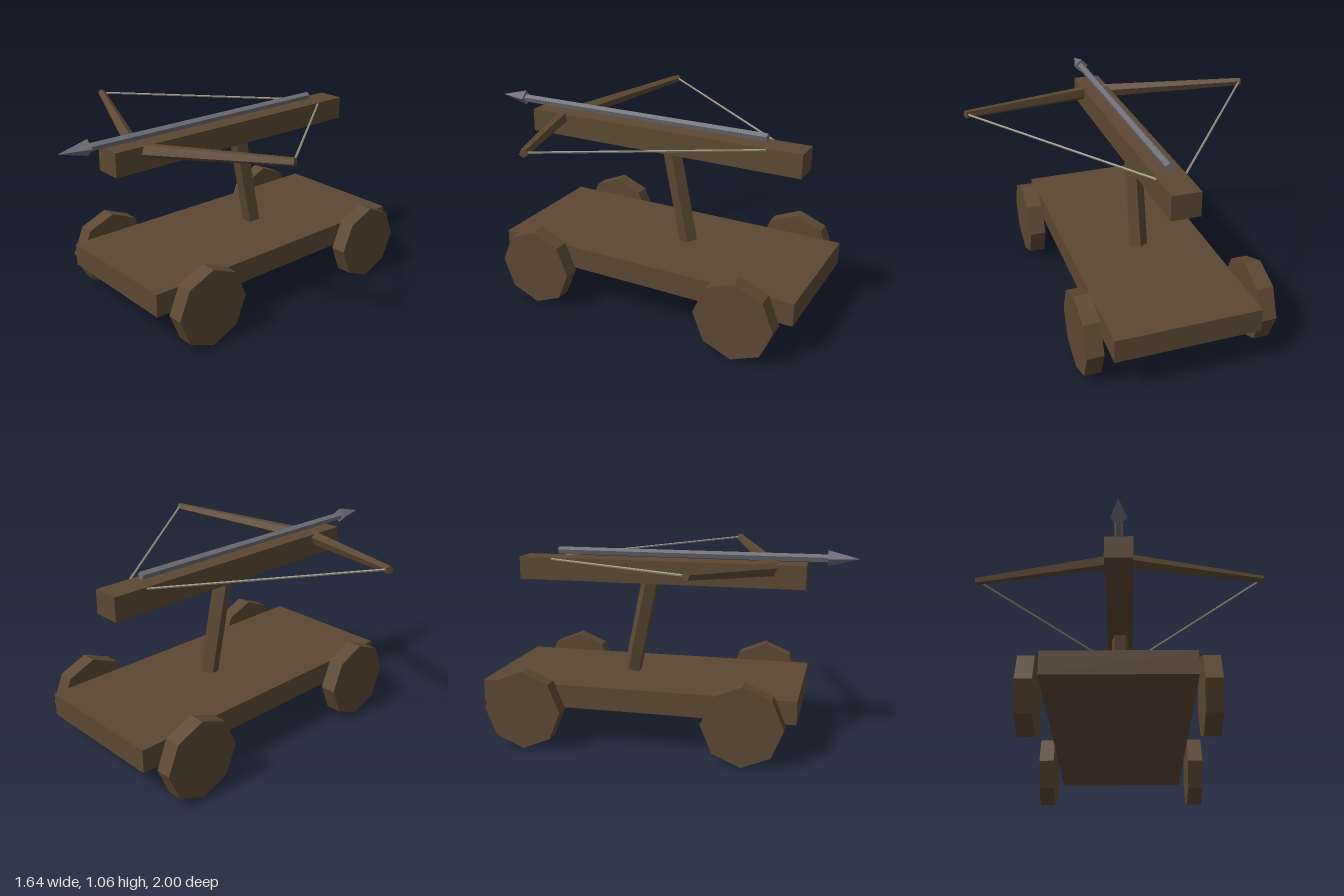
import * as THREE from 'three';

function material(name, color) {
  const m = new THREE.MeshStandardMaterial({ color, flatShading: true });
  m.name = name;
  return m;
}

export function createModel() {
  const group = new THREE.Group();
  const wood = material('wood', 0x5c4833);
  const iron = material('iron', 0x6e6e75);
  const cord = material('cord', 0x9c9782);

  function add(name, geometry, mat) {
    const mesh = new THREE.Mesh(geometry, mat);
    mesh.name = name;
    group.add(mesh);
    return mesh;
  }

  function box(name, w, h, d, y, z) {
    add(name, new THREE.BoxGeometry(w, h, d), wood).position.set(0, y, z);
  }

  // Faceted rod from a to b; one corner of its section points along `corner`
  function rod(name, a, b, ra, rb, sides, corner, mat) {
    const start = new THREE.Vector3(...a), end = new THREE.Vector3(...b);
    const axis = end.clone().sub(start);
    const length = axis.length();
    axis.normalize();
    const z = new THREE.Vector3(...corner);
    z.addScaledVector(axis, -z.dot(axis)).normalize();
    const x = new THREE.Vector3().crossVectors(axis, z);
    const geometry = new THREE.CylinderGeometry(rb, ra, length, sides);
    geometry.applyMatrix4(new THREE.Matrix4().makeBasis(x, axis, z));
    add(name, geometry, mat).position.copy(start.add(end).multiplyScalar(0.5));
  }

  const up = [0, 1, 0], down = [0, -1, 0], back = [0, 0, -1];

  // Cart, leaning post and stock
  box('deck', 0.76, 0.126, 1.73, 0.273, -0.135);
  rod('post', [0, 0.348, -0.245], [0, 0.93, -0.122], 0.052, 0.052, 5, back, wood);
  box('stock', 0.15, 0.128, 1.62, 0.921, -0.08);

  for (const s of [1, -1]) {
    const side = s > 0 ? 'left' : 'right';

    // Octagonal wheels
    for (const [end, z] of [['Front', 0.463], ['Rear', -0.727]]) {
      rod(side + end + 'Wheel', [s * 0.41, 0.215, z], [s * 0.497, 0.215, z], 0.215, 0.215, 8, up, wood);
    }

    // Tapered bow arm and its half of the string
    rod(side + 'BowArm', [0, 0.95, 0.566], [s * 0.81, 1.029, 0.242], 0.04, 0.022, 5, s > 0 ? down : up, wood);
    rod(side + 'String', [s * 0.797, 1.03, 0.235], [0, 0.971, -0.79], 0.006, 0.006, 5, up, cord);
  }

  // Bolt with a four-sided head
  rod('boltShaft', [0, 1.018, -0.677], [0, 1.018, 0.85], 0.022, 0.022, 5, up, iron);
  rod('boltHead', [0, 1.02, 0.835], [0, 1.02, 1], 0.043, 0, 4, up, iron);

  return group;
}
